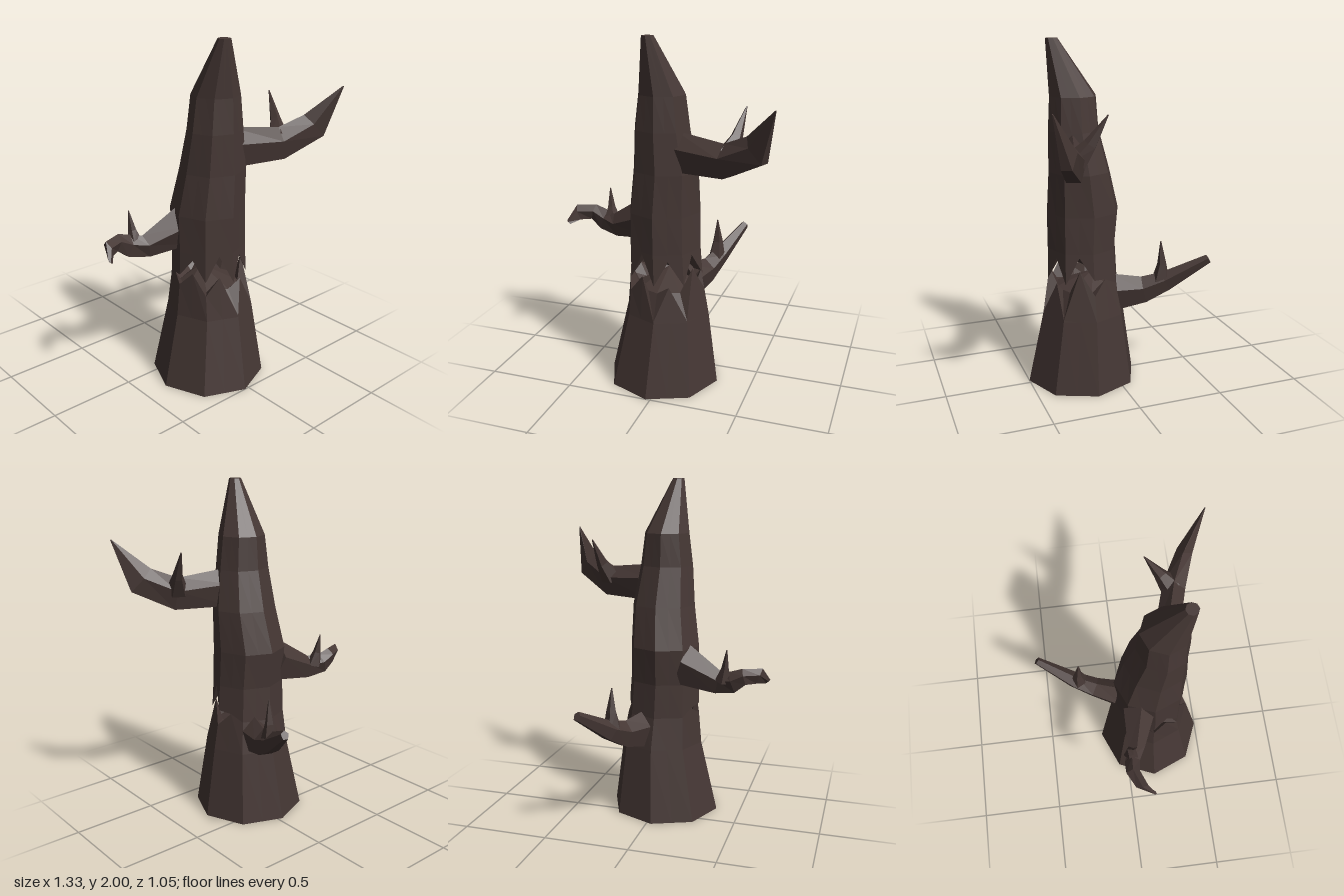
import * as THREE from 'three';

const V = (x, y, z) => new THREE.Vector3(x, y, z);
const bark = new THREE.MeshStandardMaterial({ color: 0x453734, flatShading: true, side: THREE.DoubleSide });

// Skin a list of cross-sections; a section holding one point closes the end
function loft(name, rings, flip = false) {
  const pos = [];
  const tri = (a, b, c) => {
    if (a === b || b === c || a === c) return;
    for (const p of flip ? [a, c, b] : [a, b, c]) pos.push(p.x, p.y, p.z);
  };
  for (let r = 0; r < rings.length - 1; r++) {
    const a = rings[r], b = rings[r + 1], n = Math.max(a.length, b.length);
    for (let j = 0; j < n; j++) {
      const k = (j + 1) % n;
      const a0 = a[j % a.length], a1 = a[k % a.length], b0 = b[j % b.length], b1 = b[k % b.length];
      tri(a0, a1, b1);
      tri(a0, b1, b0);
    }
  }
  const geo = new THREE.BufferGeometry();
  geo.setAttribute('position', new THREE.Float32BufferAttribute(pos, 3));
  geo.computeVertexNormals();
  const mesh = new THREE.Mesh(geo, bark);
  mesh.name = name;
  return mesh;
}

// Trunk outline by height: y, xMin, xMax, zMin, zMax
const OUTLINE = [
  [0, -0.355, 0.3, -0.155, 0.5],
  [0.43, -0.255, 0.24, -0.085, 0.41],
  [0.62, -0.238, 0.205, -0.05, 0.375],
  [0.82, -0.235, 0.19, -0.04, 0.37],
  [1.03, -0.235, 0.185, -0.06, 0.37],
  [1.27, -0.2, 0.18, 0, 0.36],
  [1.5, -0.18, 0.14, 0.06, 0.355],
  [1.69, -0.155, 0.115, 0.075, 0.345],
  [2, -0.095, -0.025, 0.28, 0.35],
];

// Point i of 16 on the octagonal trunk (even = corner, odd = middle of a side)
function trunkPoint(i, y, scale = 1) {
  let s = 0;
  while (s < OUTLINE.length - 2 && y > OUTLINE[s + 1][0]) s++;
  const t = (y - OUTLINE[s][0]) / (OUTLINE[s + 1][0] - OUTLINE[s][0]);
  const [x0, x1, z0, z1] = [1, 2, 3, 4].map(c => THREE.MathUtils.lerp(OUTLINE[s][c], OUTLINE[s + 1][c], t));
  const a = (i * Math.PI) / 8;
  const r = scale * (i % 2 ? Math.cos(Math.PI / 8) : 1);
  return V((x0 + x1) / 2 + (r * Math.cos(a) * (x1 - x0)) / 2, y, (z0 + z1) / 2 + (r * Math.sin(a) * (z1 - z0)) / 2);
}
const trunkRing = (heights, scale) =>
  Array.from({ length: 16 }, (_, i) => trunkPoint(i, Array.isArray(heights) ? heights[i] : heights, scale));

// Limb along rows of x, y, z, half width, half height, with five-sided sections
function limb(name, rows) {
  const pts = rows.map(r => V(r[0], r[1], r[2]));
  const last = pts.length - 1;
  const side = V(0, 1, 0).cross(pts[last].clone().sub(pts[0]));
  if (side.length() < 0.03) side.set(1, 0, 0);
  side.normalize();
  const rings = rows.map(([, , , w, h], i) => {
    const dir = pts[Math.min(i + 1, last)].clone().sub(pts[Math.max(i - 1, 0)]).normalize();
    const up = dir.cross(side).normalize();
    return Array.from({ length: 5 }, (_, j) => {
      const a = (-54 + 72 * j) * Math.PI / 180;
      return pts[i].clone().addScaledVector(side, w * Math.cos(a) * 1.05).addScaledVector(up, h * Math.sin(a) * 1.1);
    });
  });
  return loft(name, [[pts[0]], ...rings, [pts[last]]]);
}

export function createModel() {
  const group = new THREE.Group();
  group.name = 'deadTree';

  // Splintered edges of the break, open at the front and joined at the back
  const stumpEdge = [0.58, 0.72, 0.44, 0.63, 0.44, 0.68, 0.58, 0.7, 0.62, 0.66, 0.62, 0.62, 0.62, 0.62, 0.62, 0.66];
  const upperEdge = [0.67, 0.8, 0.64, 0.78, 0.64, 0.81, 0.66, 0.78, 0.68, 0.66, 0.62, 0.62, 0.62, 0.62, 0.62, 0.66];
  const hinge = [V(-0.02, 0.66, 0.1)];

  group.add(loft('stump', [
    [V(-0.03, 0, 0.17)], trunkRing(0), trunkRing(0.43), trunkRing(stumpEdge), trunkRing(0.58, 0.75), hinge,
  ], true));
  group.add(loft('upperTrunk', [
    hinge, trunkRing(0.8, 0.78), trunkRing(upperEdge),
    ...OUTLINE.slice(3).map(o => trunkRing(o[0])), [V(-0.06, 2, 0.315)],
  ], true));

  // Upper left branch with its spike
  group.add(limb('upperLeftBranch', [
    [0.06, 1.38, 0.24, 0.07, 0.11],
    [0.37, 1.37, 0.33, 0.065, 0.09],
    [0.55, 1.46, 0.415, 0.045, 0.085],
    [0.66, 1.69, 0.52, 0.003, 0.003],
  ]));
  group.add(limb('upperLeftSpike', [
    [0.37, 1.4, 0.31, 0.06, 0.06],
    [0.405, 1.49, 0.25, 0.03, 0.035],
    [0.435, 1.64, 0.165, 0.003, 0.003],
  ]));

  // Crooked right branch with its spike
  group.add(limb('rightBranch', [
    [-0.15, 0.93, 0.08, 0.1, 0.12],
    [-0.38, 0.85, 0.03, 0.05, 0.065],
    [-0.47, 0.865, -0.005, 0.045, 0.06],
    [-0.54, 0.905, -0.01, 0.04, 0.045],
    [-0.62, 0.905, 0.03, 0.035, 0.045],
    [-0.66, 0.86, 0.1, 0.01, 0.015],
  ]));
  group.add(limb('rightSpike', [
    [-0.42, 0.87, 0, 0.05, 0.045],
    [-0.43, 0.95, -0.015, 0.022, 0.022],
    [-0.44, 1.06, -0.03, 0.003, 0.003],
  ]));

  // Low back branch with its spike
  group.add(limb('backBranch', [
    [0.06, 0.53, 0.02, 0.085, 0.11],
    [0.13, 0.55, -0.17, 0.06, 0.075],
    [0.175, 0.605, -0.29, 0.05, 0.055],
    [0.28, 0.75, -0.51, 0.022, 0.025],
  ]));
  group.add(limb('backSpike', [
    [0.165, 0.61, -0.26, 0.05, 0.05],
    [0.17, 0.71, -0.265, 0.03, 0.025],
    [0.17, 0.85, -0.255, 0.003, 0.003],
  ]));
  return group;
}
